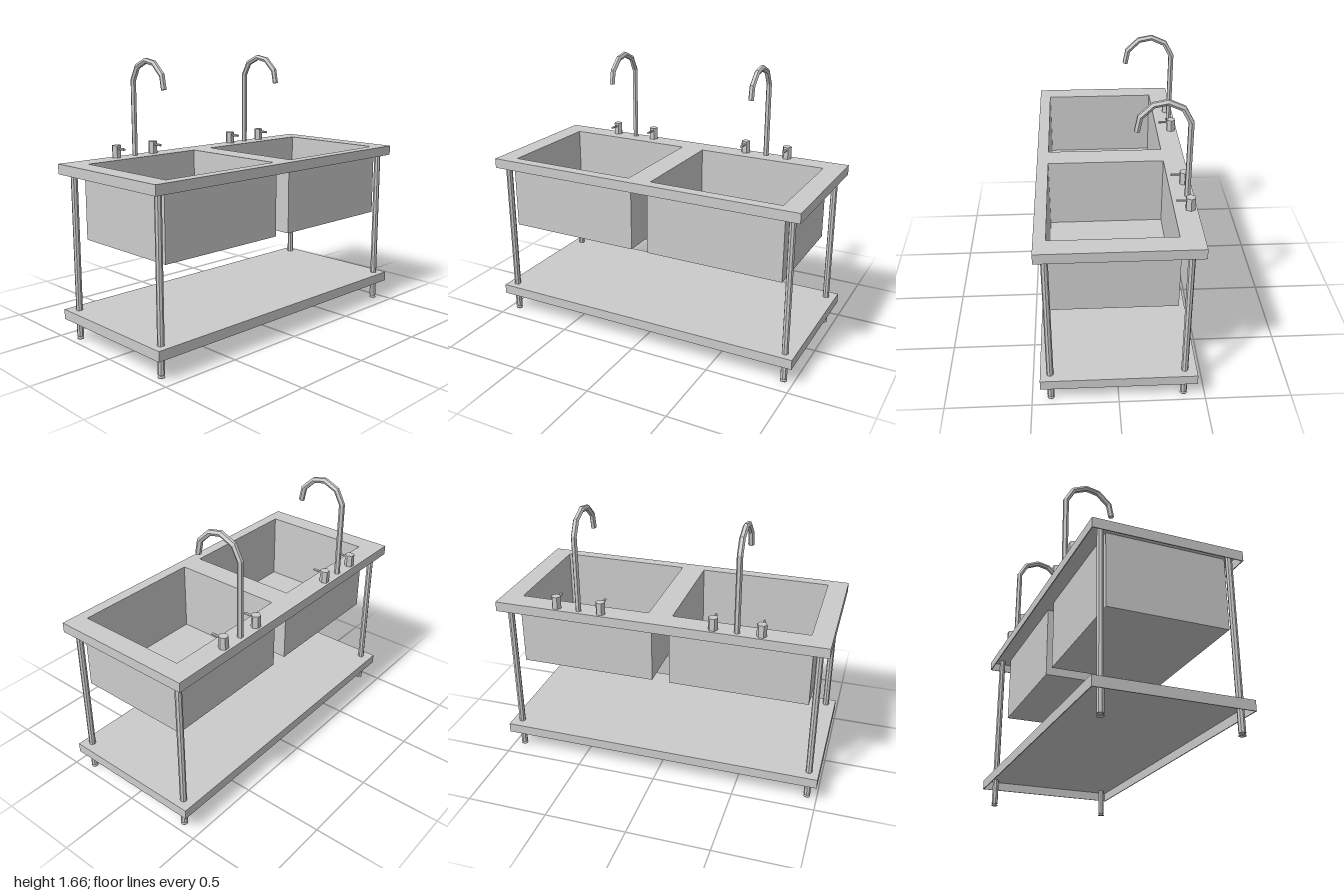
import * as THREE from 'three';

const material = new THREE.MeshStandardMaterial({ color: 0xcccccc, flatShading: true });

function add(parent, name, geometry, x = 0, y = 0, z = 0) {
  const mesh = new THREE.Mesh(geometry, material);
  mesh.name = name;
  mesh.position.set(x, y, z);
  parent.add(mesh);
  return mesh;
}

// Rectangle in plan, given as x0, x1, z0, z1 (shape y becomes -z once laid flat)
function rect([x0, x1, z0, z1], Type = THREE.Shape) {
  return new Type([[x0, -z1], [x1, -z1], [x1, -z0], [x0, -z0]].map(p => new THREE.Vector2(...p)));
}

// Horizontal slab with rectangular openings, rising from y = 0
function slab(outline, holes, height) {
  const shape = rect(outline);
  shape.holes = holes.map(h => rect(h, THREE.Path));
  return new THREE.ExtrudeGeometry(shape, { depth: height, bevelEnabled: false }).rotateX(-Math.PI / 2);
}

// Folded sheet-metal panel: thin top with a rim turned down, hollow below
const SHEET = 0.006, RIM = 0.06;
function addPanel(parent, name, [x0, x1, z0, z1], holes, y) {
  const panel = new THREE.Group();
  panel.name = name;
  panel.position.y = y;
  parent.add(panel);
  const outline = [x0, x1, z0, z1];
  const inside = [x0 + SHEET, x1 - SHEET, z0 + SHEET, z1 - SHEET];
  add(panel, name + 'Sheet', slab(outline, holes, SHEET), 0, RIM - SHEET, 0);
  add(panel, name + 'Rim', slab(outline, [inside], RIM - SHEET));
}

// Faceted pipe along a bent path in the z-y plane, mitred at each bend
function bentPipe(points, radius, sides) {
  const path = points.map(p => new THREE.Vector2(...p));
  const positions = [], index = [];
  const last = path.length - 1;
  path.forEach((p, i) => {
    const a = path[Math.max(i - 1, 0)], b = path[Math.min(i + 1, last)];
    const into = p.clone().sub(i ? a : b).multiplyScalar(i ? 1 : -1).normalize();
    const out = (i < last ? b.clone().sub(p) : into.clone()).normalize();
    const t = into.clone().add(out).normalize();
    const stretch = radius / t.dot(out);
    for (let k = 0; k < sides; k++) {
      const ang = k / sides * Math.PI * 2;
      const s = Math.sin(ang) * stretch;
      positions.push(Math.cos(ang) * radius, p.y - t.x * s, p.x + t.y * s);
    }
  });
  for (let i = 0; i < last; i++) {
    for (let k = 0; k < sides; k++) {
      const n = (k + 1) % sides, a = i * sides + k, b = i * sides + n;
      index.push(a, a + sides, b, b, a + sides, b + sides);
    }
  }
  for (let k = 1; k < sides - 1; k++) {
    const e = last * sides;
    index.push(0, k, k + 1, e, e + k + 1, e + k);
  }
  const geometry = new THREE.BufferGeometry();
  geometry.setAttribute('position', new THREE.Float32BufferAttribute(positions, 3));
  geometry.setIndex(index);
  geometry.computeVertexNormals();
  return geometry;
}

export function createModel() {
  const model = new THREE.Group();
  model.name = 'doubleSinkTable';

  // Worktop with two openings, and the lower shelf
  const edge = [-1, 1, -0.448, 0.448];
  const opening = [-0.403, 0.403, -0.318, 0.38];
  const centers = [-0.476, 0.476];
  const openings = centers.map(c => [c - 0.403, c + 0.403, -0.318, 0.38]);
  addPanel(model, 'worktop', edge, openings, 1.0);
  addPanel(model, 'shelf', edge, [], 0.12);

  // Legs with small flared feet
  const legGeometry = new THREE.CylinderGeometry(0.02, 0.02, 1.039, 8);
  const footGeometry = new THREE.LatheGeometry(
    [[0, 0], [0.021, 0], [0.021, 0.004], [0.011, 0.01], [0.011, 0.018]].map(p => new THREE.Vector2(...p)), 8);
  for (const x of [-0.94, 0.94]) {
    for (const z of [-0.378, 0.391]) {
      add(model, 'leg', legGeometry, x, 0.5345, z);
      add(model, 'foot', footGeometry, x, 0, z);
    }
  }

  // Basin walls, reaching up to the worktop sheet, and floor
  const basinOuter = [-0.422, 0.422, -0.33, 0.39];
  const wallGeometry = slab(basinOuter, [opening], 0.421);
  const floorGeometry = slab(basinOuter, [], 0.02);

  // Tap parts
  const spoutGeometry = bentPipe([[-0.41, 1.06], [-0.41, 1.52], [-0.366, 1.602], [-0.282, 1.64],
    [-0.204, 1.625], [-0.134, 1.558], [-0.118, 1.474]], 0.0175, 6);
  const knobGeometry = new THREE.CylinderGeometry(0.029, 0.029, 0.075, 6).rotateY(Math.PI / 2);
  const leverGeometry = new THREE.CylinderGeometry(0.008, 0.008, 0.08, 6).rotateX(Math.PI / 2);

  for (const c of centers) {
    const sink = new THREE.Group();
    sink.name = c < 0 ? 'rightSink' : 'leftSink';
    sink.position.x = c;
    model.add(sink);
    add(sink, 'basinWalls', wallGeometry, 0, 0.633, 0);
    add(sink, 'basinFloor', floorGeometry, 0, 0.613, 0);
    add(sink, 'spout', spoutGeometry);
    for (const side of [-1, 1]) {
      add(sink, 'tapKnob', knobGeometry, side * 0.139, 1.0975, -0.409);
      add(sink, 'tapLever', leverGeometry, side * 0.139, 1.116, -0.37);
    }
  }
  return model;
}
